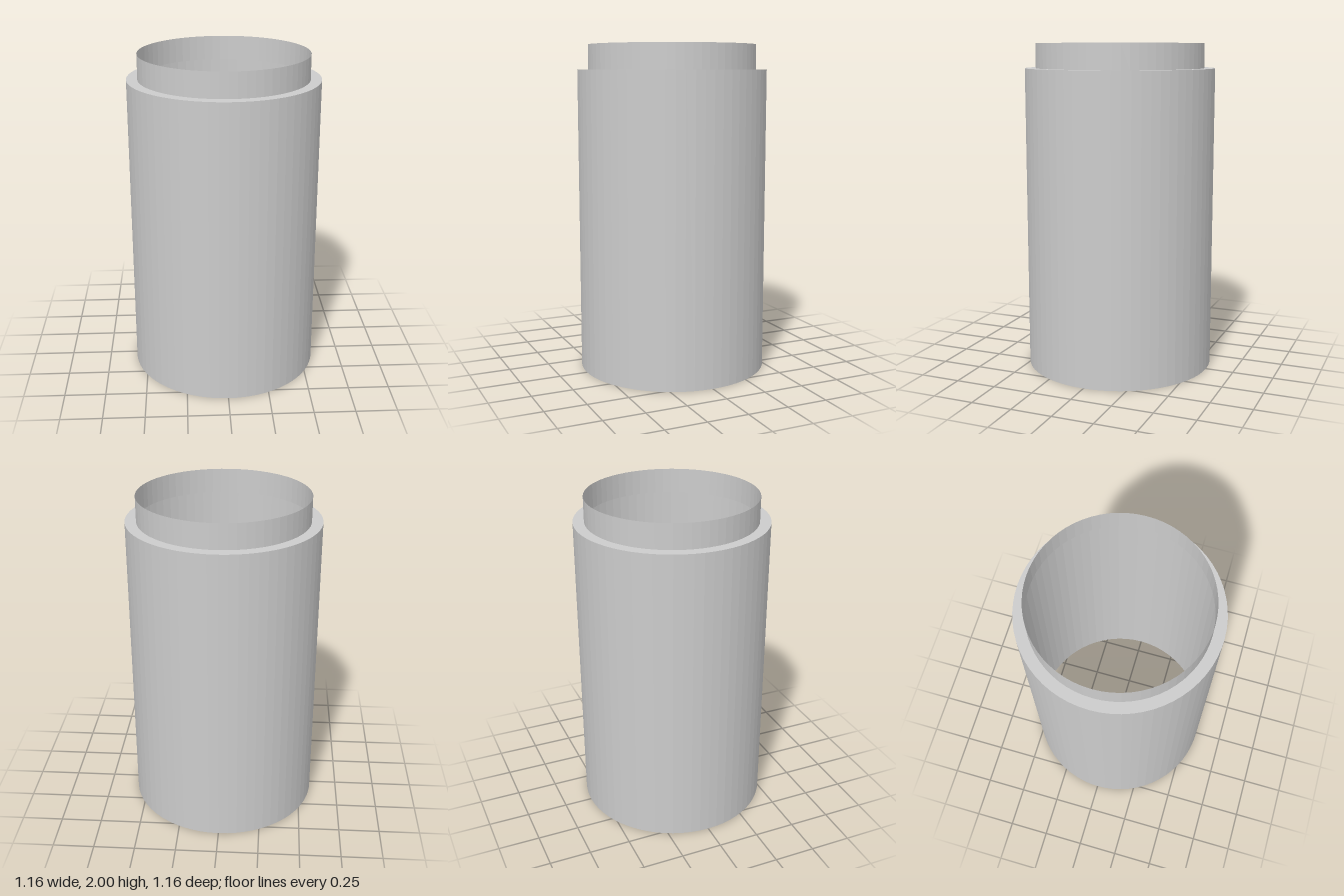
import * as THREE from 'three';

const SEGMENTS = 64;
const BODY_RADIUS = 0.578;
const NECK_RADIUS = 0.512;
const SHOULDER_Y = 1.85;
const TOP_Y = 2;

export function createModel() {
  const group = new THREE.Group();
  group.name = 'openSleeve';
  const material = new THREE.MeshStandardMaterial({
    color: 0xcccccc, flatShading: true, side: THREE.DoubleSide,
  });

  // Each part is a thin surface of revolution between two [radius, height] points
  const addPart = (name, ...profile) => {
    const points = profile.map(([r, y]) => new THREE.Vector2(r, y));
    const mesh = new THREE.Mesh(new THREE.LatheGeometry(points, SEGMENTS), material);
    mesh.name = name;
    group.add(mesh);
  };

  // Wide body, open at the bottom
  addPart('body', [BODY_RADIUS, 0], [BODY_RADIUS, SHOULDER_Y]);
  // Flat ring stepping in to the neck
  addPart('shoulder', [BODY_RADIUS, SHOULDER_Y], [NECK_RADIUS, SHOULDER_Y]);
  // Short narrow collar, open at the top
  addPart('neck', [NECK_RADIUS, SHOULDER_Y], [NECK_RADIUS, TOP_Y]);

  return group;
}
